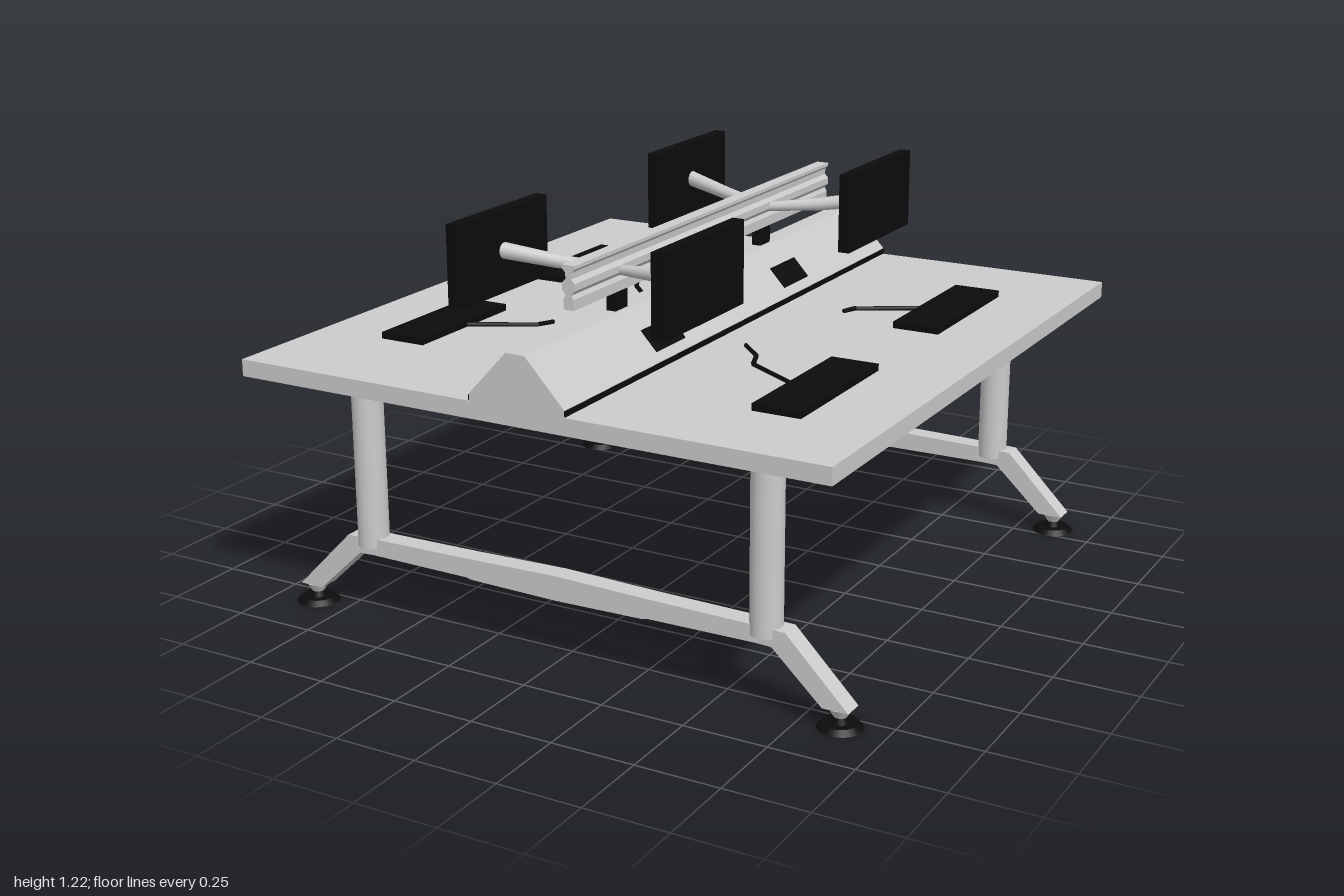
import * as THREE from 'three';

export function createModel() {
  const model = new THREE.Group();
  const grey = new THREE.MeshStandardMaterial({ color: 0xcccccc, side: THREE.DoubleSide });
  const black = new THREE.MeshStandardMaterial({ color: 0x0c0c0c, side: THREE.DoubleSide });

  const add = (name, geometry, material, x = 0, y = 0, z = 0) => {
    const mesh = new THREE.Mesh(geometry, material);
    mesh.name = name;
    mesh.position.set(x, y, z);
    model.add(mesh);
    return mesh;
  };
  // Box from its minimum and maximum corners
  const box = (name, material, x0, x1, y0, y1, z0, z1) =>
    add(name, new THREE.BoxGeometry(x1 - x0, y1 - y0, z1 - z0), material,
      (x0 + x1) / 2, (y0 + y1) / 2, (z0 + z1) / 2);
  // Outline in x and y, extruded along z between z0 and z1
  const prism = (name, points, z0, z1, material = grey) => {
    const shape = new THREE.Shape(points.map(([x, y]) => new THREE.Vector2(x, y)));
    const geometry = new THREE.ExtrudeGeometry(shape, { depth: z1 - z0, bevelEnabled: false });
    return add(name, geometry, material, 0, 0, z0);
  };
  // Tapered round bar between two points
  const bar = (name, a, b, ra, rb, material, sides = 12) => {
    const from = new THREE.Vector3(...a), to = new THREE.Vector3(...b);
    const dir = to.clone().sub(from);
    const mesh = add(name, new THREE.CylinderGeometry(rb, ra, dir.length(), sides), material);
    mesh.position.copy(from).addScaledVector(dir, 0.5);
    mesh.quaternion.setFromUnitVectors(new THREE.Vector3(0, 1, 0), dir.normalize());
    return mesh;
  };
  // Symmetric outline from right-hand points listed bottom to top
  const mirrored = half => [...half, ...half.map(([x, y]) => [-x, y]).reverse()];

  // Table top with its central cable ridge
  box('tableTop', grey, -0.93, 0.92, 0.745, 0.795, -1, 1);
  prism('cableRidge', mirrored([[0.15, 0.795], [0.15, 0.815], [0.03, 0.945]]), -1, 1);
  for (const s of [-1, 1]) {
    box('ridgeStrip', black, s * 0.151 - 0.002, s * 0.151 + 0.002, 0.797, 0.813, -1, 1);
  }

  // Fluted mounting rail on two posts
  prism('mountingRail', mirrored([[0.016, 1], [0.016, 1.03], [0.009, 1.042], [0.02, 1.055],
    [0.02, 1.075], [0.009, 1.087], [0.01, 1.105], [0.02, 1.115], [0.02, 1.125]]), -0.83, 0.735);
  for (const z of [-0.39, 0.485]) {
    box('railPost', black, -0.015, 0.015, 0.94, 1.01, z - 0.032, z + 0.032);
  }

  // Socket panels lying on the ridge slopes
  const slope = Math.atan2(0.13, 0.12);
  for (const [s, z] of [[1, 0.41], [1, -0.38], [-1, 0.475], [-1, -0.395]]) {
    const socket = add('socketPanel', new THREE.BoxGeometry(0.075, 0.008, 0.16), black,
      s * 0.105, 0.864, z);
    socket.rotation.z = -s * slope;
  }

  // Screens on bent tapering arms
  const screens = [
    { s: 1, root: -0.415, tip: -0.515, x: 0.333 },
    { s: -1, root: -0.415, tip: -0.515, x: 0.335 },
    { s: 1, root: 0.485, tip: 0.588, x: 0.32 },
    { s: -1, root: 0.485, tip: 0.588, x: 0.325 },
  ];
  for (const { s, root, tip, x } of screens) {
    const elbow = [s * 0.16, 1.073, (root + tip) / 2];
    bar('screenArmInner', [0, 1.058, root], elbow, 0.014, 0.02, grey);
    bar('screenArmOuter', elbow, [s * (x - 0.01), 1.098, tip], 0.02, 0.024, grey);
    box('screen', black, s * x - 0.018, s * x + 0.018, 0.975, 1.215, tip - 0.223, tip + 0.223);
  }

  // Keyboards with flat cables
  const keyboards = [
    { x0: -0.71, x1: -0.565, z0: -0.58, z1: -0.15,
      cable: [[-0.565, -0.365], [-0.38, -0.265], [-0.35, -0.21], [-0.275, -0.13]] },
    { x0: 0.55, x1: 0.695, z0: -0.67, z1: -0.185,
      cable: [[0.55, -0.41], [0.37, -0.31], [0.35, -0.265]] },
    { x0: -0.71, x1: -0.565, z0: 0.21, z1: 0.64,
      cable: [[-0.565, 0.415], [-0.38, 0.31], [-0.36, 0.26]] },
    { x0: 0.545, x1: 0.69, z0: 0.225, z1: 0.71,
      cable: [[0.545, 0.47], [0.365, 0.355], [0.335, 0.28], [0.26, 0.2]] },
  ];
  for (const { x0, x1, z0, z1, cable } of keyboards) {
    box('keyboard', black, x0, x1, 0.794, 0.815, z0, z1);
    for (let i = 1; i < cable.length; i++) {
      const [ax, az] = cable[i - 1], [bx, bz] = cable[i];
      bar('keyboardCable', [ax, 0.802, az], [bx, 0.8, bz], 0.007, 0.007, black, 6);
    }
  }

  // Two leg frames: cross beam, columns, splayed feet and levelling pads
  for (const z of [-0.805, 0.805]) {
    prism('crossBeam', [[-0.65, 0.2], [-0.3, 0.197], [-0.28, 0.193], [0, 0.188], [0.28, 0.193],
      [0.3, 0.197], [0.65, 0.2], [0.65, 0.25], [0.3, 0.255], [0, 0.262], [-0.3, 0.255],
      [-0.65, 0.25]], z - 0.031, z + 0.031);
    for (const s of [-1, 1]) {
      add('legColumn', new THREE.CylinderGeometry(0.046, 0.046, 0.525, 24), grey, s * 0.645, 0.483, z);
      prism('splayedFoot', [[0.62, 0.25], [0.715, 0.247], [0.902, 0.057], [0.825, 0.057],
        [0.675, 0.198], [0.62, 0.2]].map(([x, y]) => [s * x, y]), z - 0.031, z + 0.031);
      add('footNeck', new THREE.CylinderGeometry(0.034, 0.018, 0.027, 16), grey, s * 0.865, 0.044, z);
      add('levellingBolt', new THREE.CylinderGeometry(0.018, 0.026, 0.02, 16), black, s * 0.865, 0.023, z);
      add('levellingPad', new THREE.CylinderGeometry(0.05, 0.064, 0.015, 24), black, s * 0.865, 0.0075, z);
    }
  }
  return model;
}
